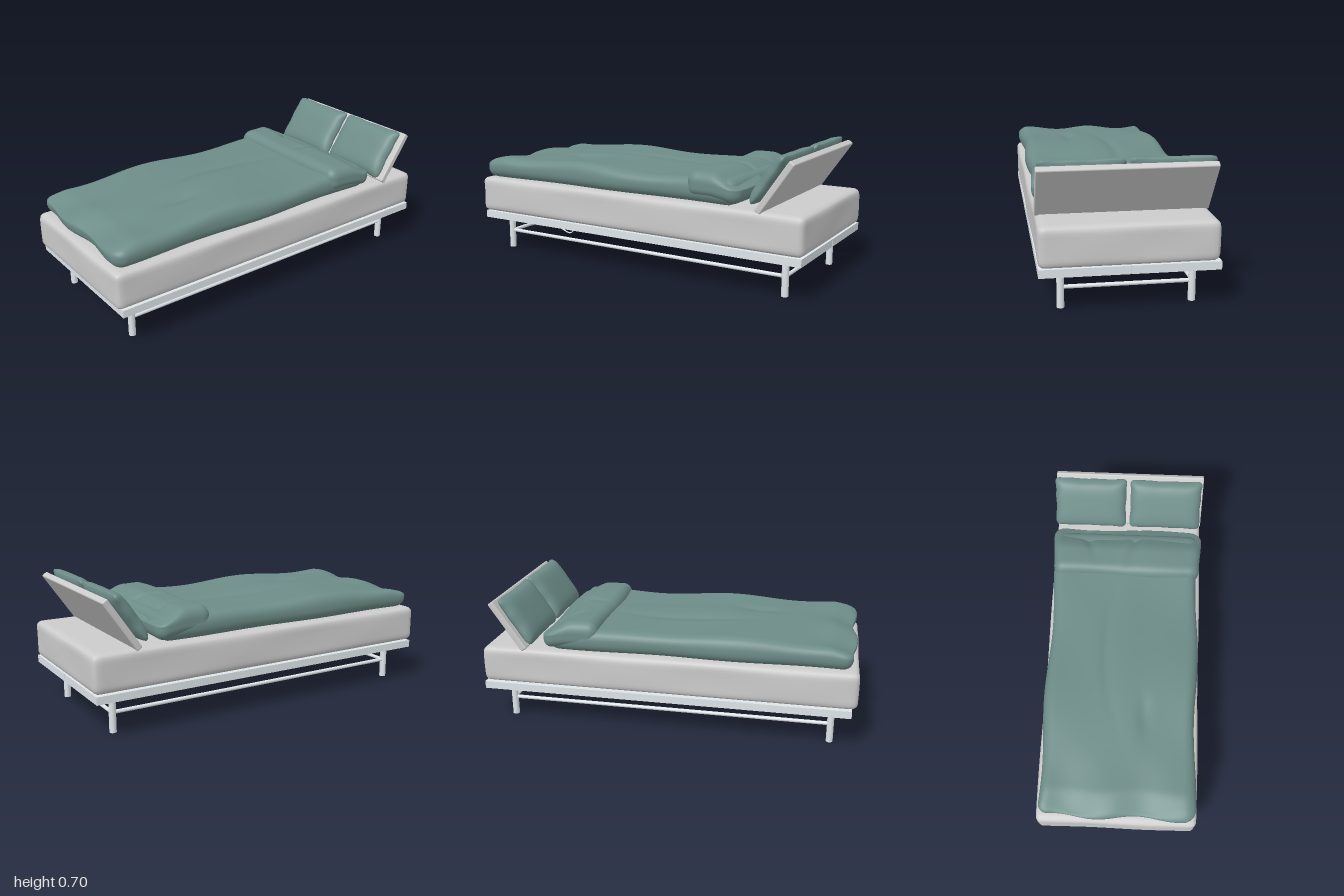
import * as THREE from 'three';
import { mergeVertices } from 'three/addons/utils/BufferGeometryUtils.js';
import { RoundedBoxGeometry } from 'three/addons/geometries/RoundedBoxGeometry.js';

const grey = new THREE.MeshStandardMaterial({ color: 0xcccccc });
const metal = new THREE.MeshStandardMaterial({ color: 0xdde4e8 });
const green = new THREE.MeshStandardMaterial({ color: 0x6d8c88 });

function add(parent, name, geometry, material, x = 0, y = 0, z = 0) {
  const mesh = new THREE.Mesh(geometry, material);
  mesh.name = name;
  mesh.position.set(x, y, z);
  parent.add(mesh);
  return mesh;
}

// Dense smooth box with rounded edges, then bent by a rule
function softBox(size, segments, radius, bend) {
  let geo = new THREE.BoxGeometry(...size, ...segments);
  geo.deleteAttribute('uv');
  geo.deleteAttribute('normal');
  geo = mergeVertices(geo, 1e-5);
  const half = new THREE.Vector3(...size).multiplyScalar(0.5);
  const inner = half.clone().subScalar(radius);
  const p = new THREE.Vector3(), core = new THREE.Vector3();
  const pos = geo.attributes.position;
  for (let i = 0; i < pos.count; i++) {
    p.fromBufferAttribute(pos, i);
    core.copy(p).clamp(inner.clone().negate(), inner);
    p.sub(core);
    if (p.lengthSq() > 0) p.setLength(radius);
    p.add(core);
    bend(p, p.x / half.x, p.y / half.y, p.z / half.z);
    pos.setXYZ(i, p.x, p.y, p.z);
  }
  geo.computeVertexNormals();
  return geo;
}

const bump = (x, z, cx, cz, rx, rz) => Math.exp(-(((x - cx) / rx) ** 2) - ((z - cz) / rz) ** 2);

// Round bar between two points
function bar(parent, name, a, b, radius) {
  const path = new THREE.LineCurve3(new THREE.Vector3(...a), new THREE.Vector3(...b));
  add(parent, name, new THREE.TubeGeometry(path, 1, radius, 12), metal);
}

function makeBase() {
  const base = new THREE.Group();
  base.name = 'base';
  // Platform in two halves with a narrow seam
  for (const s of [-1, 1]) {
    add(base, 'platformHalf', new THREE.BoxGeometry(1.96, 0.04, 0.419), metal, 0.01, 0.21, s * 0.2115);
  }
  // Legs, long rails and end rails
  for (const s of [-1, 1]) {
    for (const t of [-1, 1]) {
      add(base, 'leg', new THREE.CylinderGeometry(0.018, 0.018, 0.19, 20), metal, s * 0.87, 0.095, t * 0.313);
    }
    bar(base, 'longRail', [-0.87, 0.102, s * 0.313], [0.87, 0.102, s * 0.313], 0.01);
    bar(base, 'lowerEndRail', [s * 0.87, 0.1, -0.313], [s * 0.87, 0.1, 0.313], 0.01);
    add(base, 'upperEndRail', new THREE.BoxGeometry(0.02, 0.018, 0.64), metal, s * 0.87, 0.181, 0);
  }
  // Bent wire lever under the foot end
  const points = [[-0.86, 0.165], [-0.76, 0.125], [-0.66, 0.092], [-0.652, 0.08], [-0.672, 0.042], [-0.69, 0.035],
    [-0.73, 0.045], [-0.8, 0.078], [-0.86, 0.1]].map(([x, y]) => new THREE.Vector3(x, y, 0));
  const path = new THREE.CatmullRomCurve3(points, false, 'centripetal');
  add(base, 'wireLever', new THREE.TubeGeometry(path, 48, 0.004, 6), metal);
  return base;
}

function makeBackrest() {
  // Board and cushions lean back together
  const backrest = new THREE.Group();
  backrest.name = 'backrest';
  backrest.position.set(0.843, 0.551, 0);
  backrest.rotation.z = -0.6;
  add(backrest, 'backBoard', new RoundedBoxGeometry(0.034, 0.305, 0.835, 3, 0.007), grey, 0, 0, 0.005);
  const cushion = softBox([0.085, 0.295, 0.41], [8, 30, 40], 0.03, (p, u, v, w) => {
    const fill = Math.sqrt(Math.max(0, (1 - 0.97 * v ** 4) * (1 - 0.85 * w ** 6)));
    p.x *= (p.x < 0 ? 1.1 : 0.75) * fill;
    // Pinched corners and slightly wavy seams
    p.y *= 1 - 0.035 * (1 - w * w) + 0.008 * Math.sin(9 * w);
    p.z *= 1 - 0.03 * (1 - v * v) + 0.008 * Math.sin(8 * v);
  });
  for (const z of [-0.215, 0.21]) {
    add(backrest, 'cushion', cushion, green, -0.052, -0.003, z);
  }
  return backrest;
}

export function createModel() {
  const model = new THREE.Group();
  model.name = 'bed';
  model.add(makeBase(), makeBackrest());

  // Mattress with softly uneven sides
  const mattress = softBox([1.99, 0.195, 0.836], [90, 12, 40], 0.03, (p, u, v, w) => {
    const belly = 1 - v * v;
    p.z += Math.sign(w) * 0.004 * belly * Math.sin(7 * p.x) * Math.abs(w);
    p.x += Math.sign(u) * 0.003 * belly * Math.sin(11 * p.z) * Math.abs(u);
  });
  add(model, 'mattress', mattress, grey, 0, 0.3275, 0.004);

  // Duvet, with gentle folds and a lumpy foot end
  const duvet = softBox([1.6, 0.125, 0.8], [110, 8, 56], 0.055, (p, u, v, w) => {
    const { x, z } = p;
    if (v > 0) {
      const foot = THREE.MathUtils.smoothstep(-x, 0.45, 0.8);
      p.y += v * (0.008 * Math.sin(6 * x + 2.4)
        + foot * (0.012 * Math.cos(16 * z + 0.5) - 0.006)
        + 0.006 * Math.sin(9 * x + 7 * z) * Math.abs(w)
        - 0.014 * bump(x, z, -0.28, 0.13, 0.1, 0.035)
        - 0.01 * bump(x, z - 0.35 * (x - 0.1) ** 2, 0.1, -0.09, 0.32, 0.03)
        + 0.008 * bump(x, z, 0.05, 0.02, 0.35, 0.09)
        - 0.03 * THREE.MathUtils.smoothstep(-x, 0.66, 0.8));
    }
    p.x += u < 0 ? u * u * 0.012 * Math.sin(15 * z) : 0;
    p.z += w * w * w * 0.009 * Math.sin(8 * x + (w > 0 ? 1 : 3));
  });
  add(model, 'duvet', duvet, green, -0.17, 0.49, 0.003);

  // Turned-over top of the duvet, sloping down toward the cushions
  const fold = softBox([0.3, 0.145, 0.826], [30, 14, 70], 0.055, (p, u, v, w) => {
    const { x, z } = p;
    const drop = THREE.MathUtils.smoothstep(u, -0.1, 1);
    if (v > 0) p.y -= v * 0.055 * drop;
    p.y -= 0.008 * drop;
    if (v < 0) p.y -= v * 0.015 * (1 - drop);
    if (v > 0) {
      p.y += v * (0.004 * Math.sin(11 * z + 6 * x) - 0.012 * bump(x, z - 0.25 * x, 0.05, 0.03, 0.13, 0.02)
        - 0.01 * bump(x, z + 0.3 * x, 0.06, -0.2, 0.1, 0.025));
    }
    p.x += u * 0.006 * Math.sin(9 * z);
    p.z += w * w * w * 0.006 * Math.sin(16 * x);
  });
  add(model, 'duvetFold', fold, green, 0.507, 0.516, 0.003);
  return model;
}
